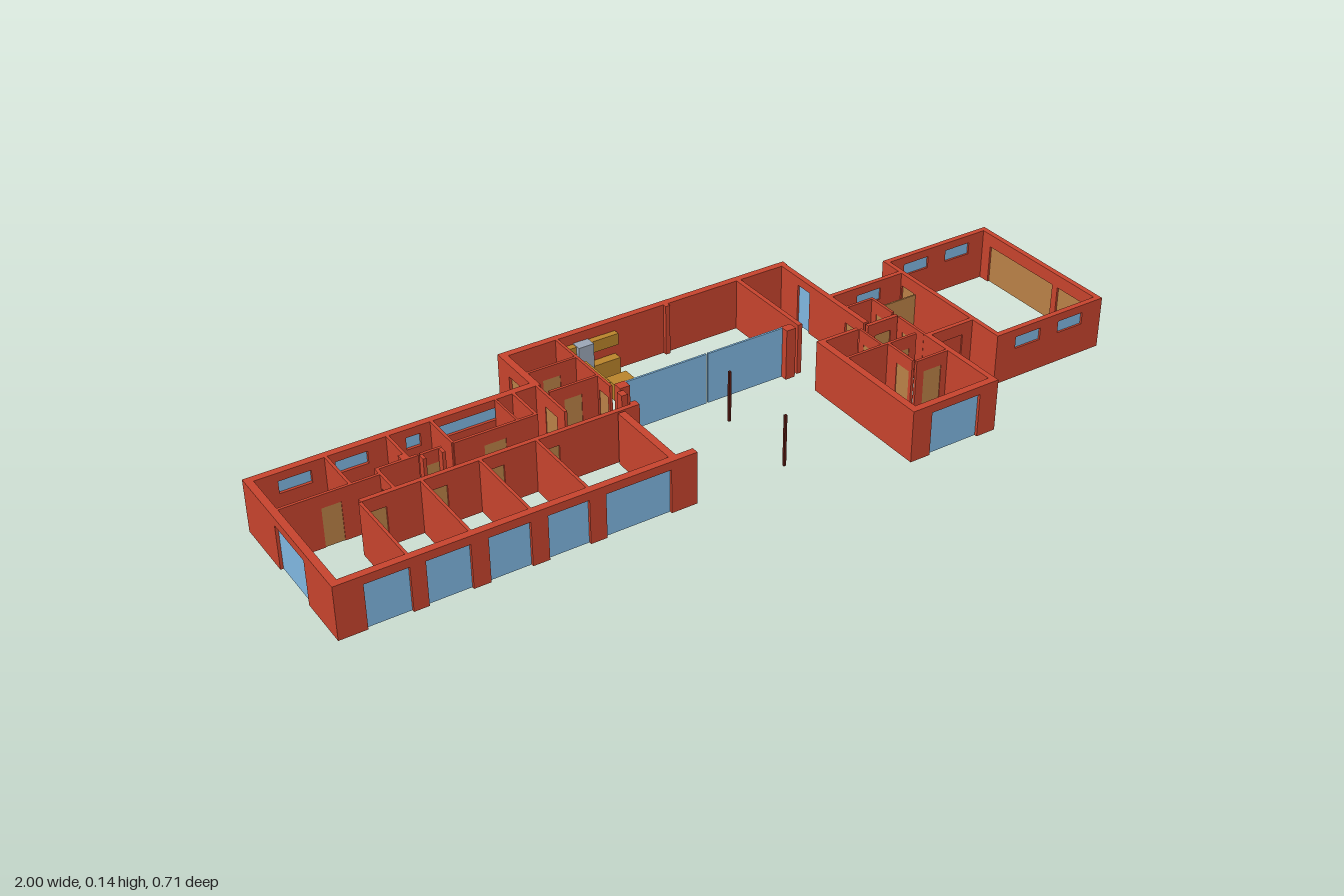
import * as THREE from 'three';

const Y0 = 0.004, TOP = 0.136;
const mat = (color) => new THREE.MeshStandardMaterial({ color });

export function createModel() {
  const house = new THREE.Group();
  house.name = 'house';
  const brick = mat(0xc5432d), glass = mat(0x7fb6df), wood = mat(0xb98046);
  const cabinet = mat(0xb9832b), tile = mat(0xbfb299), steel = mat(0x9aa5b5), dark = mat(0x5a1c14);

  // Box given by its minimum and maximum corners
  function block(name, material, x0, x1, y0, y1, z0, z1, parent = house) {
    const m = new THREE.Mesh(new THREE.BoxGeometry(x1 - x0, y1 - y0, z1 - z0), material);
    m.position.set((x0 + x1) / 2, (y0 + y1) / 2, (z0 + z1) / 2);
    m.name = name;
    parent.add(m);
  }

  // Wall along x or z at centre line c, from a to b; openings: [start, end, bottom, top, material]
  function wall(name, axis, c, a, b, t, openings = []) {
    const g = new THREE.Group();
    g.name = name;
    house.add(g);
    const part = (n, m, s, e, y0, y1, th) => {
      if (e - s < 0.001 || y1 - y0 < 0.001) return;
      if (axis === 'x') block(n, m, s, e, y0, y1, c - th / 2, c + th / 2, g);
      else block(n, m, c - th / 2, c + th / 2, y0, y1, s, e, g);
    };
    let at = a;
    for (const [s, e, y0, y1, m] of [...openings].sort((p, q) => p[0] - q[0])) {
      part('pier', brick, at, s, Y0, TOP, t);
      part('sill', brick, s, e, Y0, y0, t);
      part('lintel', brick, s, e, y1, TOP, t);
      if (m) part(m === glass ? 'windowPane' : 'doorPanel', m, s, e, y0, y1, 0.004);
      at = e;
    }
    part('pier', brick, at, b, Y0, TOP, t);
  }
  const win = (s, e) => [s, e, Y0, 0.115, glass];
  const high = (s, e) => [s, e, 0.084, 0.115, glass];
  const door = (s, e) => [s, e, Y0, 0.103, wood];
  const gap = (s, e) => [s, e, Y0, TOP, null];
  const T = 0.018, t = 0.007;

  // Bedroom wing shell
  wall('bedroomFrontWall', 'x', 0.216, -1, -0.16, T,
    [win(-0.935, -0.835), win(-0.8, -0.7), win(-0.66, -0.563), win(-0.523, -0.425), win(-0.385, -0.225)]);
  wall('bedroomBackWall', 'x', -0.2, -1, -0.31, T,
    [high(-0.93, -0.855), high(-0.8, -0.725), high(-0.635, -0.6), high(-0.56, -0.41)]);
  wall('bedroomEndWall', 'z', -0.991, -0.191, 0.207, T, [win(-0.05, 0.09)]);
  wall('bedroomInnerEnd', 'z', -0.212, 0.005, 0.207, T);
  wall('corridorWall', 'x', 0.006 - 0.013, -0.83, -0.165, 0.012,
    [door(-0.82, -0.775), door(-0.68, -0.635), door(-0.545, -0.5), door(-0.41, -0.365)]);
  wall('hallEnd', 'z', -0.17, -0.07, -0.001, 0.016, [gap(-0.05, -0.02)]);

  // Bedroom partitions
  for (const x of [-0.832, -0.692, -0.555, -0.419]) wall('bedroomPartition', 'z', x, -0.001, 0.207, t);

  // Service rooms behind the corridor
  wall('dressingWall', 'x', -0.072, -0.982, -0.75, t, [door(-0.89, -0.845)]);
  wall('dressingDivider', 'z', -0.82, -0.191, -0.075, t);
  wall('dressingEnd', 'z', -0.751, -0.095, -0.013, t, [door(-0.065, -0.02)]);
  wall('serviceFront', 'x', -0.092, -0.751, -0.367, t,
    [gap(-0.655, -0.65), door(-0.645, -0.605), gap(-0.6, -0.572), door(-0.5, -0.447)]);
  for (const x of [-0.677, -0.572, -0.37]) wall('servicePartition', 'z', x, -0.191, -0.092, t);
  wall('bathDivider', 'z', -0.415, -0.191, -0.095, 0.005);
  block('serviceStub', brick, -0.692, -0.678, Y0, TOP, -0.112, -0.095);
  for (const x of [-0.65, -0.605]) block('doorJamb', brick, x - 0.004, x + 0.004, Y0, TOP, -0.088, -0.07);

  // Main block
  wall('mainBackWall', 'x', -0.347, -0.32, 0.473, T);
  wall('mainLeftWall', 'z', -0.311, -0.338, -0.191, T, [door(-0.305, -0.26)]);
  wall('mainLeftInner', 'z', -0.311, -0.191, -0.065, t, [door(-0.15, -0.1)]);
  wall('mainRightWall', 'z', 0.464, -0.338, -0.01, 0.014, [win(-0.27, -0.222), door(-0.08, -0.03)]);
  wall('kitchenWall', 'z', -0.175, -0.338, -0.1, t, [door(-0.145, -0.108)]);
  wall('loungeWall', 'z', 0.33, -0.338, -0.085, 0.012);
  for (const z of [-0.25, -0.155]) wall('pantryPartition', 'x', z, -0.302, -0.178, t, [door(-0.265, -0.22)]);
  block('backPier', brick, 0.115, 0.127, Y0, TOP, -0.338, -0.328);

  // Glazed terrace front with two panels and end piers
  for (const [a, b] of [[-0.14, 0.076], [0.08, 0.29]]) block('terraceGlass', glass, a, b, Y0, TOP, -0.1, -0.095);
  for (const x of [-0.152, 0.3]) block('terracePier', brick, x - 0.013, x + 0.013, Y0, TOP, -0.102, -0.078);
  for (const z of [-0.005, 0.21]) block('terracePost', dark, 0.075, 0.081, Y0, TOP, z - 0.003, z + 0.003);

  // Kitchen
  block('kitchenIsland', cabinet, -0.095, -0.04, Y0, 0.048, -0.258, -0.15);
  block('tallCabinets', cabinet, -0.171, -0.146, Y0, 0.11, -0.258, -0.15);
  block('backCounter', cabinet, -0.171, -0.02, Y0, 0.048, -0.338, -0.315);
  block('upperCabinets', cabinet, -0.171, -0.02, 0.08, 0.11, -0.338, -0.322);
  block('refrigerator', steel, -0.133, -0.093, Y0, 0.112, -0.338, -0.311);

  // Guest wing
  wall('guestLeftWall', 'z', 0.326, -0.001, 0.336, T);
  wall('guestFrontWall', 'x', 0.345, 0.317, 0.556, T, [win(0.37, 0.505)]);
  wall('guestRightWall', 'z', 0.549, 0.107, 0.336, 0.014);
  wall('guestBackWall', 'x', 0.002, 0.317, 0.545, 0.01, [gap(0.43, 0.458), door(0.48, 0.525)]);
  wall('guestHall', 'x', 0.092, 0.335, 0.53, t, [door(0.46, 0.51)]);
  wall('guestCloset', 'z', 0.45, 0.095, 0.185, t, [door(0.13, 0.175)]);
  wall('guestClosetFront', 'x', 0.19, 0.453, 0.542, t, [door(0.475, 0.525)]);
  wall('guestBathWall', 'z', 0.435, 0.007, 0.089, 0.006, [door(0.025, 0.07)]);

  // Entry link between the main block and the garage
  wall('linkBackWall', 'x', -0.155, 0.471, 0.68, 0.012, [high(0.545, 0.615)]);
  wall('linkInner', 'x', -0.092, 0.471, 0.548, t);
  block('linkGlass', wood, 0.548, 0.68, Y0, 0.103, -0.096, -0.092);
  wall('linkSide', 'z', 0.545, -0.089, 0.107, t, [door(-0.07, -0.025), gap(-0.012, 0.01), door(0.03, 0.08)]);
  wall('entryWall', 'x', 0.113, 0.556, 0.68, 0.011, [[0.58, 0.65, Y0, 0.105, brick]]);

  // Garage
  const pair = [high(0.735, 0.81), high(0.865, 0.94)];
  wall('garageFrontWall', 'x', 0.201, 0.678, 1, 0.014, pair);
  wall('garageBackWall', 'x', -0.216, 0.678, 1, 0.014, pair);
  wall('garageInnerWall', 'z', 0.684, -0.209, 0.194, 0.012, [door(-0.145, -0.1)]);
  wall('garageDoorWall', 'z', 0.993, -0.209, 0.194, 0.014, [door(-0.18, 0.052), door(0.07, 0.163)]);

  // Tiled bathroom floors
  block('bathFloor', tile, -0.568, -0.374, 0, Y0, -0.185, -0.095);
  block('bathThreshold', tile, -0.5, -0.447, 0, Y0, -0.095, -0.067);
  block('guestBathFloor', tile, 0.336, 0.434, 0, Y0, 0.002, 0.089);
  block('bathVanity', steel, -0.5, -0.44, Y0, 0.03, -0.19, -0.165);

  return house;
}
